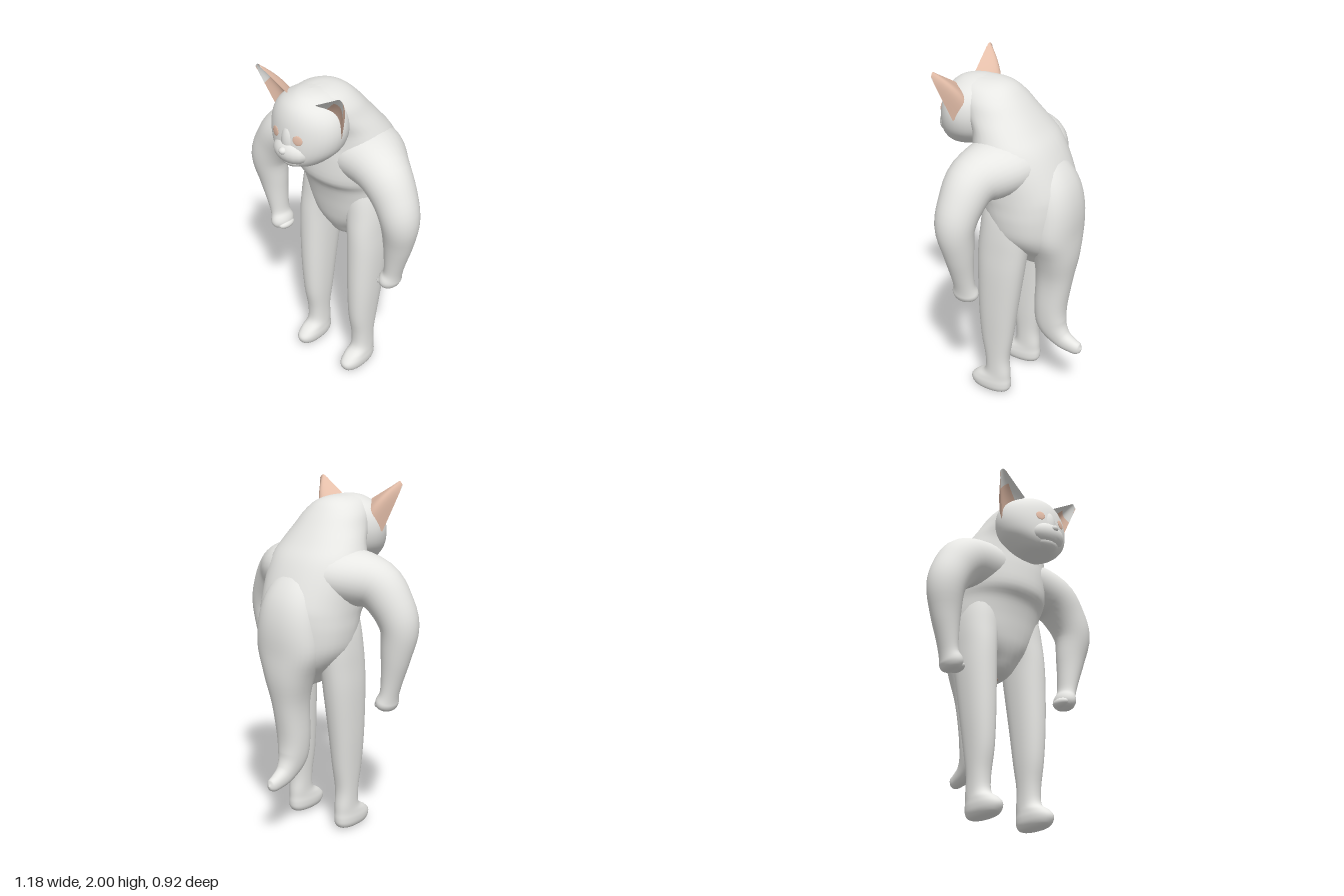
import * as THREE from 'three';

const fur = new THREE.MeshStandardMaterial({ color: 0xebebe8, side: THREE.DoubleSide });
fur.name = 'greyFur';
const skin = new THREE.MeshStandardMaterial({ color: 0xe4bea9, side: THREE.DoubleSide });
skin.name = 'peachSkin';

const X = new THREE.Vector3(1, 0, 0), Y = new THREE.Vector3(0, 1, 0), Z = new THREE.Vector3(0, 0, 1);

function gridGeometry(rows, cols, wrap, point) {
  const pos = [], idx = [], n = wrap ? cols : cols + 1;
  for (let i = 0; i <= rows; i++) {
    for (let j = 0; j < n; j++) pos.push(...point(i / rows, j / cols));
  }
  for (let i = 0; i < rows; i++) {
    for (let j = 0; j < cols; j++) {
      const k = (j + 1) % n, a = i * n + j, b = i * n + k;
      idx.push(a, b, a + n, b, b + n, a + n);
    }
  }
  const g = new THREE.BufferGeometry();
  g.setAttribute('position', new THREE.Float32BufferAttribute(pos, 3));
  g.setIndex(idx);
  g.computeVertexNormals();
  return g;
}

// Smooth skin over rounded sections [x, y, z, radius along ref, other radius].
// Flat sections stay level and run upward; others stand across the path.
// A power below 1 makes the sections fuller than an ellipse.
function loft(sections, ref, flat, power = 1, cols = 32) {
  const spline = pts => new THREE.CatmullRomCurve3(pts, false, 'catmullrom', 0.5);
  const path = spline(sections.map(s => new THREE.Vector3(s[0], s[1], s[2])));
  const radii = spline(sections.map(s => new THREE.Vector3(s[3], s[4], 0)));
  const full = c => Math.sign(c) * Math.abs(c) ** power;
  return gridGeometry((sections.length - 1) * 4, cols, true, (t, w) => {
    const p = path.getPoint(t), r = radii.getPoint(t);
    const T = flat ? Y : path.getTangent(t);
    const U = ref.clone().addScaledVector(T, -ref.dot(T)).normalize();
    const V = T.clone().cross(U);
    const a = w * Math.PI * 2;
    return p.addScaledVector(U, full(Math.cos(a)) * Math.max(r.x, 0.0005))
      .addScaledVector(V, full(Math.sin(a)) * Math.max(r.y, 0.0005)).toArray();
  });
}

// Level section from [height, front z, back z, half width]
const level = ([y, f, b, w]) => [0, y, (f + b) / 2, w, (f - b) / 2];

export function createModel() {
  const model = new THREE.Group();
  const add = (name, geometry, material = fur) => {
    const m = new THREE.Mesh(geometry, material);
    m.name = name;
    model.add(m);
    return m;
  };
  const ball = (name, p, r, material) => {
    const m = add(name, new THREE.SphereGeometry(1, 20, 14), material);
    m.position.set(...p);
    m.scale.set(...r);
    return m;
  };

  // Hunched torso and neck
  add('torso', loft([
    [0.88, -0.1, -0.16, 0.001], [0.9, 0.0, -0.3, 0.08], [0.97, 0.055, -0.35, 0.14],
    [1.04, 0.09, -0.36, 0.215], [1.12, 0.11, -0.365, 0.265], [1.22, 0.13, -0.37, 0.281],
    [1.3, 0.155, -0.37, 0.283], [1.37, 0.2, -0.36, 0.287], [1.5, 0.2, -0.305, 0.293],
    [1.6, 0.19, -0.25, 0.283], [1.68, 0.2, -0.185, 0.25], [1.76, 0.25, -0.12, 0.212],
    [1.83, 0.28, -0.06, 0.18], [1.885, 0.29, 0.0, 0.13], [1.912, 0.27, 0.07, 0.065],
    [1.918, 0.17, 0.168, 0.001],
  ].map(level), X, true, 0.92, 36));

  // Head
  add('head', loft([
    [1.53, 0.33, 0.328, 0.001], [1.54, 0.385, 0.2, 0.09], [1.58, 0.415, 0.12, 0.15],
    [1.64, 0.42, 0.07, 0.2], [1.72, 0.415, 0.05, 0.22], [1.8, 0.4, 0.05, 0.207],
    [1.86, 0.37, 0.06, 0.165], [1.9, 0.32, 0.08, 0.1], [1.915, 0.27, 0.15, 0.05],
    [1.92, 0.221, 0.219, 0.001],
  ].map(level), X, true, 1, 36));
  ball('muzzle', [0, 1.628, 0.365], [0.115, 0.075, 0.085]);
  ball('chin', [0, 1.575, 0.36], [0.08, 0.043, 0.062]);
  ball('noseBridge', [0, 1.685, 0.38], [0.05, 0.1, 0.048]);
  ball('noseTip', [0, 1.648, 0.437], [0.024, 0.02, 0.023]);

  // Broad rump narrowing into a tail that hangs down and curls back
  add('tail', loft([
    [0, 1.52, -0.19, 0.12, 0.08], [0, 1.38, -0.255, 0.17, 0.12], [0, 1.25, -0.28, 0.195, 0.133],
    [0, 1.1, -0.28, 0.2, 0.134], [0, 0.96, -0.285, 0.145, 0.126],
    [0, 0.8, -0.275, 0.1, 0.107], [0, 0.6, -0.255, 0.088, 0.095], [0, 0.48, -0.265, 0.075, 0.09],
    [0, 0.395, -0.325, 0.052, 0.062], [0, 0.358, -0.4, 0.038, 0.045], [0, 0.35, -0.445, 0.028, 0.034],
    [0, 0.35, -0.463, 0.001, 0.001],
  ], X, false, 0.9));
  ball('underbelly', [0, 0.965, -0.07], [0.085, 0.08, 0.09]);
  ball('underPatch', [0, 0.884, -0.09], [0.025, 0.004, 0.025], skin);

  for (const s of [1, -1]) {
    const side = s > 0 ? 'left' : 'right';
    const mirror = ([x, ...rest]) => [x * s, ...rest];

    // Leg with rounded foot, its thigh sinking gradually into the belly
    add(side + 'Leg', loft([
      [0.18, 0.002, 0.045, 0.001, 0.001], [0.18, 0.01, 0.045, 0.042, 0.095], [0.18, 0.035, 0.045, 0.06, 0.125],
      [0.18, 0.07, 0.045, 0.064, 0.13], [0.18, 0.105, 0.03, 0.06, 0.112], [0.18, 0.15, 0.0, 0.056, 0.08],
      [0.18, 0.25, 0.0, 0.058, 0.074], [0.18, 0.4, 0.0, 0.069, 0.098], [0.183, 0.6, -0.01, 0.082, 0.118],
      [0.184, 0.85, -0.03, 0.094, 0.138], [0.18, 1.0, -0.042, 0.098, 0.147], [0.168, 1.12, -0.055, 0.108, 0.15],
      [0.15, 1.24, -0.065, 0.115, 0.15], [0.13, 1.38, -0.05, 0.1, 0.11],
    ].map(mirror), X, true, 0.88));

    // Muscular arm bent outward, ending in a paw
    add(side + 'Arm', loft([
      [0.04, 1.5, -0.06, 0.22, 0.14], [0.2, 1.505, -0.015, 0.2, 0.155], [0.345, 1.468, 0.04, 0.15, 0.14],
      [0.435, 1.37, 0.06, 0.125, 0.122], [0.485, 1.25, 0.07, 0.11, 0.108], [0.475, 1.1, 0.06, 0.086, 0.087],
      [0.455, 0.96, 0.055, 0.068, 0.062], [0.44, 0.87, 0.052, 0.063, 0.05], [0.424, 0.82, 0.054, 0.077, 0.058],
      [0.418, 0.79, 0.055, 0.07, 0.052], [0.414, 0.772, 0.055, 0.045, 0.032], [0.413, 0.768, 0.055, 0.001, 0.001],
    ].map(mirror), Z, false));
    ball(side + 'Thumb', [0.387 * s, 0.798, 0.058], [0.034, 0.028, 0.058]);

    // Eye
    ball(side + 'Eye', [0.077 * s, 1.722, 0.408], [0.028, 0.027, 0.0045], skin)
      .rotation.set(-0.1, 0.31 * s, 0);

    // Cupped ear: peach back, inside peach with grey tip and grey upper rim
    const ear = (name, bulge, [v0, v1], [u0, u1], material) =>
      add(side + name, gridGeometry(8, 12, false, (t, w) => {
        const v = v0 + (v1 - v0) * t, u = u0 + (u1 - u0) * w, arc = Math.sin(Math.PI * u);
        const base = new THREE.Vector3(0.1, 1.89, 0.3).lerp(new THREE.Vector3(0.225, 1.72, 0.24), u);
        const tip = new THREE.Vector3(0.262, 1.988, 0.322).lerp(new THREE.Vector3(0.304, 1.975, 0.315), u);
        tip.y += 0.015 * arc;
        const p = base.lerp(tip, v);
        p.z -= bulge * arc * (1 - v * v);
        return [p.x * s, p.y, p.z];
      }), material);
    ear('EarBack', 0.09, [0, 1], [0, 1], skin);
    ear('EarInnerBase', 0.045, [0, 0.62], [0.22, 1], skin);
    ear('EarInnerRim', 0.045, [0, 0.62], [0, 0.22], fur);
    ear('EarInnerTip', 0.045, [0.62, 1], [0, 1], fur);
  }
  return model;
}
